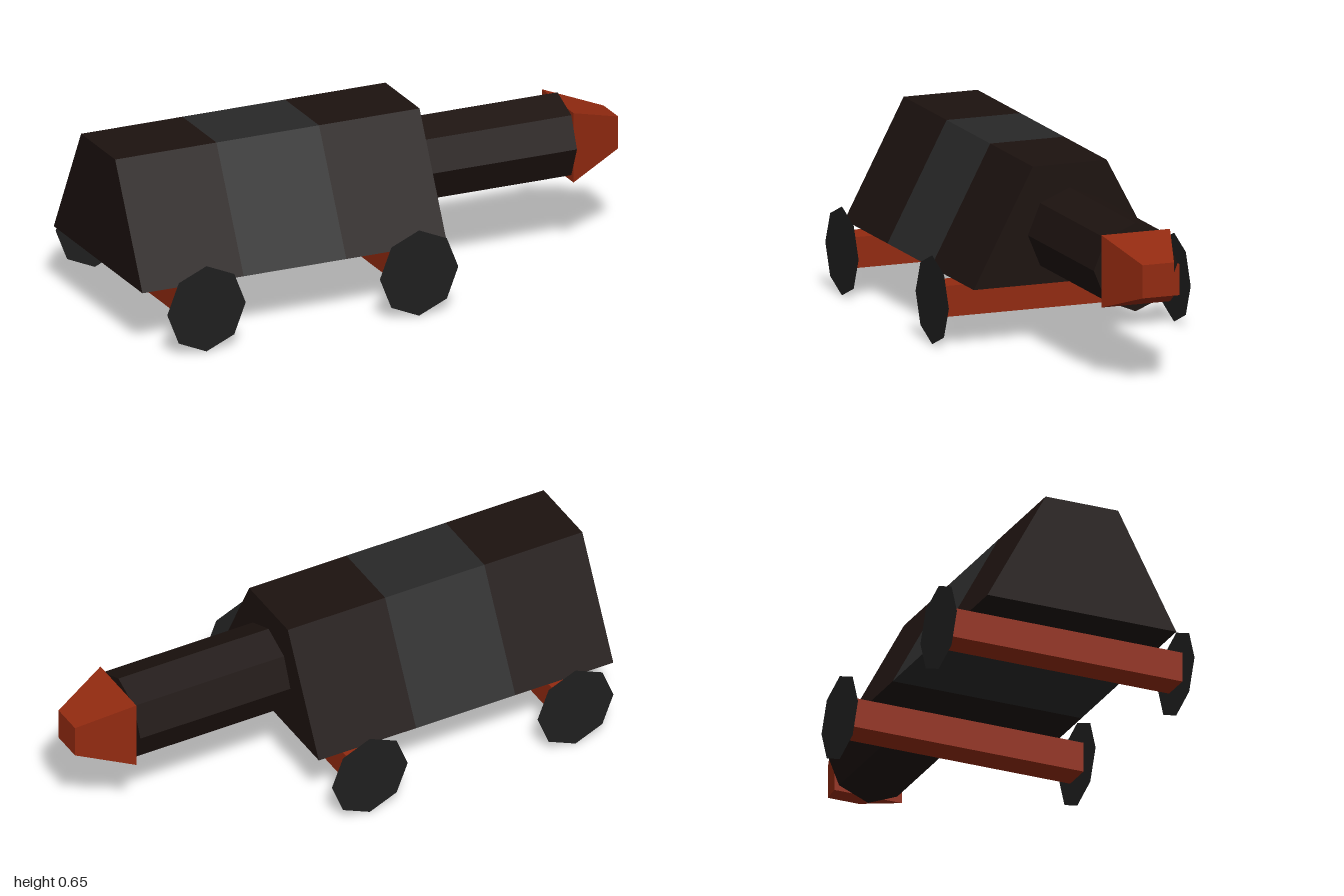
import * as THREE from 'three';

const paint = (color, side = THREE.FrontSide) =>
  new THREE.MeshStandardMaterial({ color, side, flatShading: true });

export function createModel() {
  const model = new THREE.Group();
  const dark = paint(0x1c120f);
  const grey = paint(0x282828);
  const red = paint(0x922a10);
  const rubber = paint(0x1f1f1f, THREE.DoubleSide);

  const add = (name, geometry, material, x, y, z) => {
    const mesh = new THREE.Mesh(geometry, material);
    mesh.name = name;
    mesh.position.set(x, y, z);
    model.add(mesh);
  };

  // Body: a trapezoid section run along x in three coloured lengths
  const section = new THREE.Shape([
    new THREE.Vector2(-0.367, 0.22), new THREE.Vector2(0.367, 0.22),
    new THREE.Vector2(0.141, 0.647), new THREE.Vector2(-0.141, 0.647),
  ]);
  const lengths = [
    ['bodyRear', -1, -0.605, dark],
    ['bodyBand', -0.605, -0.205, grey],
    ['bodyFront', -0.205, 0.187, dark],
  ];
  for (const [name, from, to, material] of lengths) {
    const geometry = new THREE.ExtrudeGeometry(section, { depth: to - from, bevelEnabled: false });
    add(name, geometry.rotateY(Math.PI / 2), material, from, 0, 0);
  }

  // Eight-sided barrel and square tapered tip
  add('barrel', new THREE.CylinderGeometry(0.16, 0.16, 0.605, 8).rotateZ(-Math.PI / 2),
    dark, 0.4895, 0.4, 0);
  const tip = new THREE.CylinderGeometry(0.06 * Math.SQRT2, 0.131 * Math.SQRT2, 0.208, 4)
    .rotateY(Math.PI / 4).rotateZ(-Math.PI / 2);
  add('tip', tip, red, 0.896, 0.396, 0);

  // Square axles with thin eight-sided wheels on their ends
  for (const [end, x] of [['rear', -0.795], ['front', 0.034]]) {
    add(end + 'Axle', new THREE.BoxGeometry(0.112, 0.112, 0.92), red, x, 0.164, 0);
    for (const side of [-1, 1]) {
      const wheel = new THREE.CircleGeometry(0.161, 8).scale(0.95, 1, 1);
      if (side < 0) wheel.rotateY(Math.PI);
      add(end + (side > 0 ? 'Near' : 'Far') + 'Wheel', wheel, rubber, x, 0.161, side * 0.462);
    }
  }
  return model;
}
